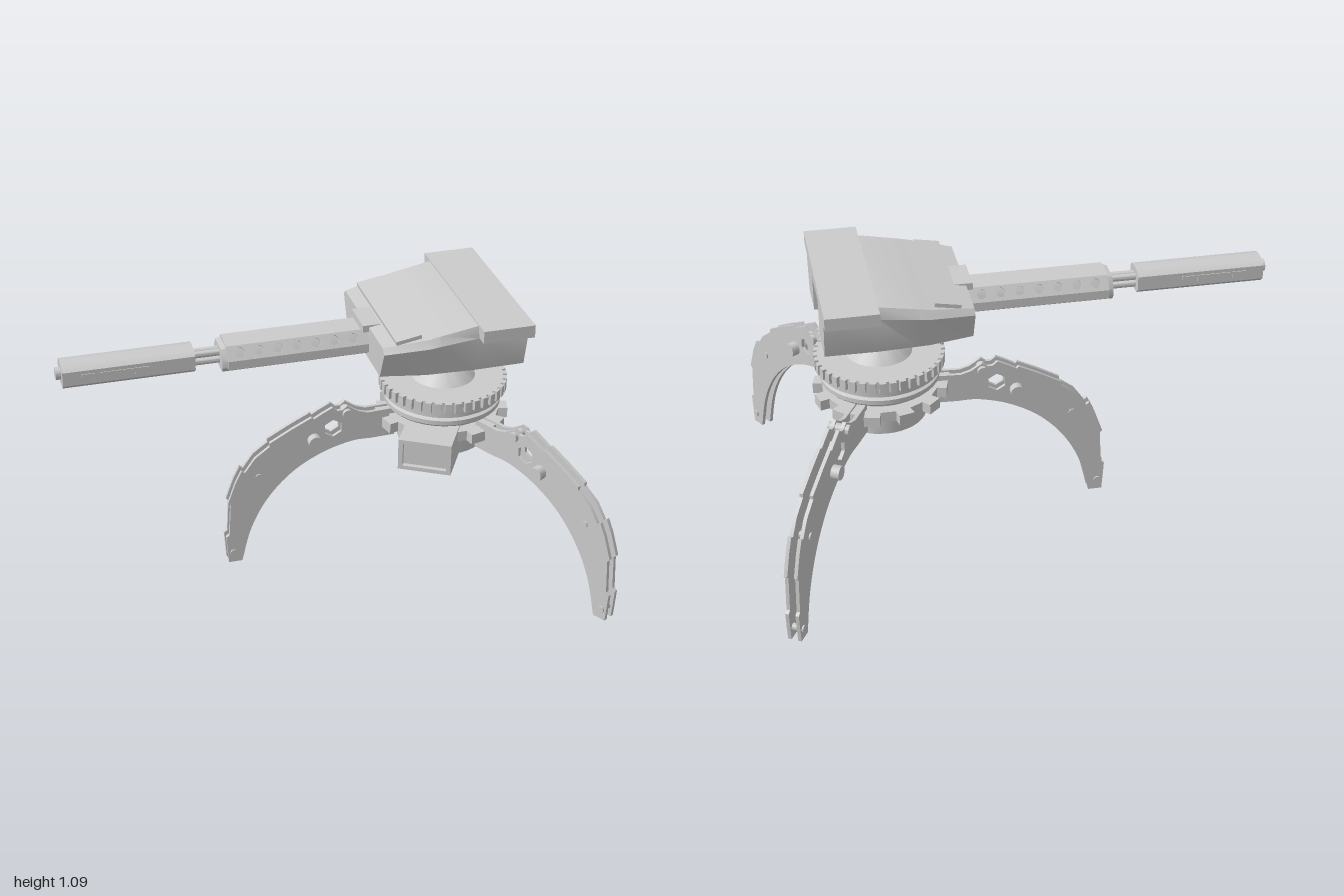
import * as THREE from 'three';
import { toCreasedNormals } from 'three/addons/utils/BufferGeometryUtils.js';

const mat = new THREE.MeshStandardMaterial({ color: 0xcccccc });
const CX = 0.52; // turret axis

function add(parent, name, geo, x = 0, y = 0, z = 0) {
  const m = new THREE.Mesh(toCreasedNormals(geo, 0.6), mat);
  m.name = name;
  m.position.set(x, y, z);
  parent.add(m);
  return m;
}
const box = (w, h, d) => new THREE.BoxGeometry(w, h, d);
const rodX = (r, len, n = 12) => new THREE.CylinderGeometry(r, r, len, n).rotateZ(Math.PI / 2);
const rodZ = (r, len, n = 16) => new THREE.CylinderGeometry(r, r, len, n).rotateX(Math.PI / 2);

// Solid joined through cross-sections [x, [[y, z], ...]] with capped ends
function loft(sections) {
  const secs = sections.map(([x, p]) => {
    const v = p.map(([y, z]) => new THREE.Vector2(y, z));
    if (THREE.ShapeUtils.isClockWise(v)) v.reverse();
    return { x, v };
  });
  const pos = [];
  const put = (s, i) => pos.push(s.x, s.v[i].x, s.v[i].y);
  for (let k = 0; k + 1 < secs.length; k++) {
    const a = secs[k], b = secs[k + 1], n = a.v.length;
    for (let i = 0; i < n; i++) {
      const j = (i + 1) % n;
      put(a, i); put(a, j); put(b, j);
      put(a, i); put(b, j); put(b, i);
    }
  }
  const first = secs[0], last = secs[secs.length - 1];
  for (const [a, b, c] of THREE.ShapeUtils.triangulateShape(last.v, [])) {
    put(last, a); put(last, b); put(last, c);
  }
  for (const [a, b, c] of THREE.ShapeUtils.triangulateShape(first.v, [])) {
    put(first, a); put(first, c); put(first, b);
  }
  const g = new THREE.BufferGeometry();
  g.setAttribute('position', new THREE.Float32BufferAttribute(pos, 3));
  g.computeVertexNormals();
  return g;
}

// Flat toothed disc, lying horizontally with its base at y = 0
function gear(rIn, rOut, teeth, duty, height) {
  const s = new THREE.Shape(), step = (Math.PI * 2) / teeth;
  for (let i = 0; i < teeth; i++) {
    const a = i * step, h = step * duty / 2, b = step / 2;
    const pts = [[rIn, b - h], [rOut, b - h * 0.9], [rOut, b + h * 0.9], [rIn, b + h]];
    pts.forEach(([r, t], k) => {
      const x = r * Math.cos(a + t), y = r * Math.sin(a + t);
      if (i + k === 0) s.moveTo(x, y); else s.lineTo(x, y);
    });
  }
  s.closePath();
  return new THREE.ExtrudeGeometry(s, { depth: height, bevelEnabled: false }).rotateX(-Math.PI / 2);
}

// One curved leg, running along +x from the hub axis
function makeLeg() {
  const leg = new THREE.Group();
  const s = new THREE.Shape();
  s.moveTo(0.2, 0.495);
  s.lineTo(0.3, 0.492);
  s.splineThru([[0.38, 0.49], [0.5, 0.455], [0.62, 0.385], [0.72, 0.28], [0.79, 0.15], [0.83, 0]]
    .map(p => new THREE.Vector2(...p)));
  [[0.885, 0], [0.893, 0.12], [0.88, 0.13], [0.872, 0.27], [0.882, 0.28], [0.85, 0.37], [0.825, 0.42],
    [0.812, 0.41], [0.77, 0.47], [0.71, 0.515], [0.71, 0.53], [0.62, 0.58], [0.54, 0.62], [0.53, 0.612],
    [0.5, 0.63], [0.455, 0.653], [0.435, 0.636], [0.415, 0.636], [0.395, 0.652], [0.35, 0.622],
    [0.31, 0.61], [0.2, 0.615]].forEach(p => s.lineTo(...p));
  const hole = new THREE.Path();
  for (let i = 0; i < 6; i++) {
    const a = i * Math.PI / 3 + Math.PI / 6;
    const x = 0.452 + 0.038 * Math.cos(a), y = 0.56 + 0.038 * Math.sin(a);
    if (i) hole.lineTo(x, y); else hole.moveTo(x, y);
  }
  s.holes.push(hole);
  for (const z of [-0.027, 0.013]) {
    add(leg, 'legPlate', new THREE.ExtrudeGeometry(s, { depth: 0.014, bevelEnabled: false, curveSegments: 5 }), 0, 0, z);
  }
  // Cross pins: [radius, y, pin radius, length]
  for (const [x, y, r, len] of [[0.53, 0.52, 0.028, 0.12], [0.395, 0.62, 0.02, 0.085],
    [0.755, 0.385, 0.014, 0.066], [0.865, 0.045, 0.014, 0.066]]) {
    add(leg, 'legPin', rodZ(r, len), x, y, 0);
  }
  add(leg, 'legRoot', box(0.1, 0.1, 0.026), 0.22, 0.555, 0);
  return leg;
}

export function createModel() {
  const model = new THREE.Group();
  model.name = 'tripodTurret';

  // Three legs
  for (const [deg, z] of [[180, -0.018], [60, -0.005], [-60, -0.005]]) {
    const leg = makeLeg();
    leg.name = 'leg';
    leg.position.set(CX, 0, z);
    leg.rotation.y = THREE.MathUtils.degToRad(deg);
    model.add(leg);
  }

  // Hub, notched collar and turntable
  const base = new THREE.Group();
  base.name = 'base';
  base.position.set(CX, 0, -0.005);
  model.add(base);
  add(base, 'hub', new THREE.CylinderGeometry(0.175, 0.175, 0.15, 40), 0, 0.54, 0);
  add(base, 'notchedCollar', gear(0.225, 0.262, 12, 0.5, 0.042), 0, 0.55, 0);
  const discs = [[0, 0.59], [0.18, 0.59], [0.18, 0.62], [0.22, 0.62], [0.23, 0.63], [0.23, 0.648], [0.215, 0.654],
    [0.215, 0.662], [0.235, 0.668], [0.235, 0.695], [0, 0.695]];
  const lathe = pts => new THREE.LatheGeometry(pts.map(p => new THREE.Vector2(...p)), 40);
  add(base, 'turntable', lathe(discs));
  add(base, 'toothedRing', gear(0.238, 0.253, 40, 0.7, 0.043), 0, 0.692, 0);
  add(base, 'ballJoint', lathe([[0.13, 0.73], [0.125, 0.738], [0.06, 0.778], [0.06, 0.81], [0.085, 0.835], [0.1, 0.862],
    [0.104, 0.89], [0.1, 0.915], [0.085, 0.945], [0.08, 0.95], [0, 0.95]]));

  // Open-faced supply box between two legs
  const crate = new THREE.Group();
  crate.name = 'supplyBox';
  crate.rotation.y = THREE.MathUtils.degToRad(-120);
  base.add(crate);
  add(crate, 'boxBody', box(0.25, 0.13, 0.208), 0.18, 0.535, 0);
  for (const k of [-1, 1]) {
    add(crate, 'boxRim', box(0.02, 0.016, 0.208), 0.314, 0.535 + k * 0.057, 0);
    add(crate, 'boxRim', box(0.02, 0.13, 0.018), 0.314, 0.535, k * 0.095);
  }

  // Head: tapered housing with a slot underneath that opens at the rear
  const head = new THREE.Group();
  head.name = 'head';
  head.position.z = -0.005;
  model.add(head);
  const outline = (wb, wt, ys, wd, yt, slot) => [
    [0.885, wb], [ys, wt], [yt, wd], [yt, -wd], [ys, -wt], [0.885, -wb],
    ...(slot ? [[0.885, -0.095], [1.038, -0.095], [1.038, 0.095], [0.885, 0.095]] : [])];
  const mid = slot => [0.4, outline(0.257, 0.305, 1.025, 0.286, 1.058, slot)];
  add(head, 'housingFront', loft([
    [0.19, outline(0.22, 0.27, 1.0, 0.25, 1.02)],
    [0.36, outline(0.255, 0.305, 1.02, 0.285, 1.05)], mid(false)]));
  add(head, 'housingRear', loft([mid(true),
    [0.55, outline(0.265, 0.305, 1.04, 0.29, 1.085, true)],
    [0.75, outline(0.262, 0.297, 1.04, 0.285, 1.085, true)]]));
  // Overhanging rear roof, open over the slot
  add(head, 'roofPlate', box(0.202, 0.05, 0.706), 0.651, 1.066, 0);
  add(head, 'topPanel', box(0.1, 0.022, 0.52), 0.29, 1.042, 0).rotation.z = 0.175;
  add(head, 'frontLip', box(0.07, 0.028, 0.15), 0.2, 1.015, 0);

  // Barrel assembly
  const barrel = new THREE.Group();
  barrel.name = 'barrel';
  barrel.position.z = -0.012;
  model.add(barrel);
  const shroud = (x, i) => [x, [[0.9, 0.06], [0.92, 0.085 - i], [0.95, 0.085 - i], [1 - i, 0.052 - i * 0.4],
    [1 - i, -0.052 + i * 0.4], [0.95, -0.085 + i], [0.92, -0.085 + i], [0.9, -0.06]]];
  add(barrel, 'shroud', loft([shroud(-0.38, 0.012), shroud(-0.36, 0.008), shroud(0.2, 0.008)]));
  add(barrel, 'shroudTop', box(0.55, 0.01, 0.104), -0.085, 0.995, 0);

  // Perforated sloping panels along both upper edges of the shroud
  const panel = new THREE.Shape([[-0.36, 0], [0.2, 0], [0.2, 0.06], [-0.36, 0.06]].map(p => new THREE.Vector2(...p)));
  for (let i = 0; i < 7; i++) {
    const h = new THREE.Path();
    h.absarc(-0.31 + i * 0.0735, 0.032, 0.018, 0, Math.PI * 2, true);
    panel.holes.push(h);
  }
  const tilt = Math.atan2(0.033, 0.05);
  for (const side of [1, -1]) {
    const g = new THREE.ExtrudeGeometry(panel, { depth: 0.01, bevelEnabled: false, curveSegments: 8 });
    if (side < 0) g.translate(0, 0, -0.01);
    g.translate(0, 0, side * -0.01).rotateX(-side * tilt);
    add(barrel, 'ventPanel', g, 0, 0.95, side * 0.085);
    add(barrel, 'shroudSide', box(0.56, 0.035, 0.01), -0.08, 0.933, side * 0.08);
  }

  // Exposed rods between shroud and muzzle
  for (const y of [0.93, 0.96]) for (const z of [-0.013, 0.013]) {
    add(barrel, 'barrelRod', rodX(0.013, 0.16), -0.42, y, z);
  }

  // Muzzle sleeve with long side slots
  const sleeve = [[0.903, 0.035], [0.922, 0.058], [0.978, 0.058], [0.992, 0.04], [0.997, 0.015],
    [0.997, -0.015], [0.992, -0.04], [0.978, -0.058], [0.922, -0.058], [0.903, -0.035]];
  add(barrel, 'muzzleSleeve', loft([[-0.98, sleeve], [-0.48, sleeve]]));
  add(barrel, 'muzzleTip', rodX(0.024, 0.04, 16), -0.98, 0.95, 0);
  for (const z of [-0.058, 0.058]) for (const x of [-0.883, -0.78, -0.682]) {
    add(barrel, 'muzzleInset', box(x === -0.78 ? 0.13 : 0.055, 0.028, 0.006), x, 0.95, z);
  }
  return model;
}
